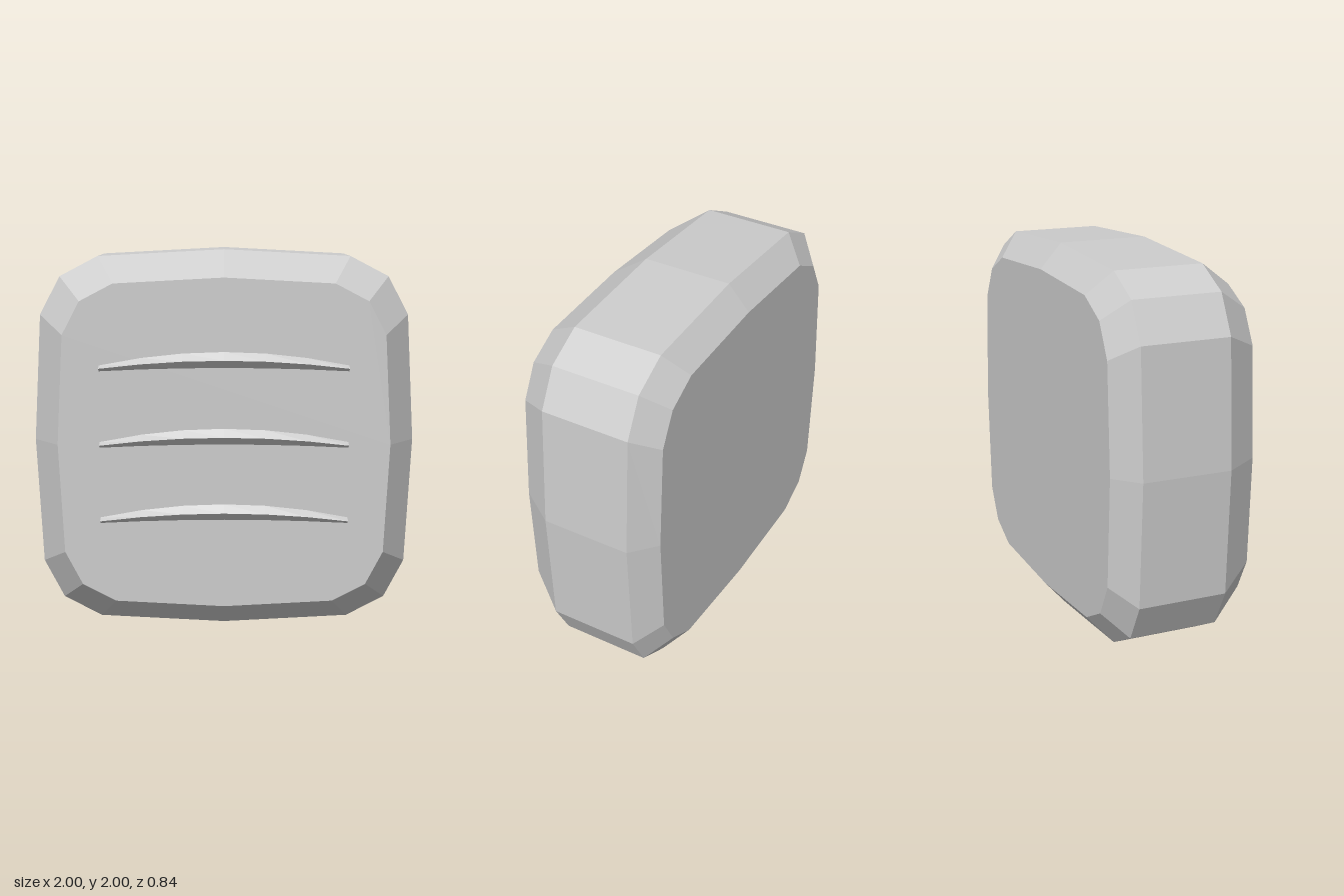
import * as THREE from 'three';

// Joins closed rings of equal point count into a flat-shaded solid, with both ends capped.
// Rings run counter-clockwise seen from the side the last ring faces.
function loft(rings) {
  const n = rings[0].length;
  const index = [];
  for (let r = 0; r < rings.length - 1; r++) {
    for (let i = 0; i < n; i++) {
      const a = r * n + i, b = r * n + (i + 1) % n;
      index.push(a, b, b + n, a, b + n, a + n);
    }
  }
  const last = (rings.length - 1) * n;
  for (let i = 1; i < n - 1; i++) {
    index.push(0, i + 1, i);
    index.push(last, last + i, last + i + 1);
  }
  const indexed = new THREE.BufferGeometry();
  indexed.setAttribute('position', new THREE.Float32BufferAttribute(rings.flat(2), 3));
  indexed.setIndex(index);
  const geometry = indexed.toNonIndexed();
  geometry.computeVertexNormals();
  return geometry;
}

// Softly bulging square: one quarter turned four times
function outline() {
  const quarter = [[1, 0], [0.965, 0.66], [0.86, 0.86], [0.66, 0.965]];
  const points = [];
  for (let q = 0; q < 4; q++) {
    const c = [1, 0, -1, 0][q], s = [0, 1, 0, -1][q];
    for (const [x, y] of quarter) points.push([x * c - y * s, x * s + y * c]);
  }
  return points;
}

function bodyGeometry() {
  const shape = outline();
  const sections = [[-0.42, 0.87], [-0.305, 1], [0.171, 1], [0.367, 0.862]];
  return loft(sections.map(([z, k]) => shape.map(([x, y]) => [x * k, 1 + y * k, z])));
}

// Arched slat with a triangular section, thinning toward both ends
function slatGeometry() {
  const rings = [];
  const segments = 6;
  for (let i = 0; i <= segments; i++) {
    const t = -1 + 2 * i / segments;
    const x = 0.643 * t, d = t * t;
    rings.push([
      [x, 0.083 - 0.069 * d, 0.379],
      [x, 0.042 - 0.041 * d, 0.42],
      [x, 0.001 - 0.017 * d, 0.379],
    ]);
  }
  return loft(rings);
}

export function createModel() {
  const group = new THREE.Group();
  const grey = new THREE.MeshStandardMaterial({ color: 0xcccccc });
  grey.name = 'lightGrey';

  // Bevelled body
  const body = new THREE.Mesh(bodyGeometry(), grey);
  body.name = 'body';
  group.add(body);

  // Three slats in front of the face
  const slat = slatGeometry();
  ['lowerSlat', 'middleSlat', 'upperSlat'].forEach((name, i) => {
    const mesh = new THREE.Mesh(slat, grey);
    mesh.name = name;
    mesh.position.y = 0.605 + i * 0.3975;
    group.add(mesh);
  });
  return group;
}
